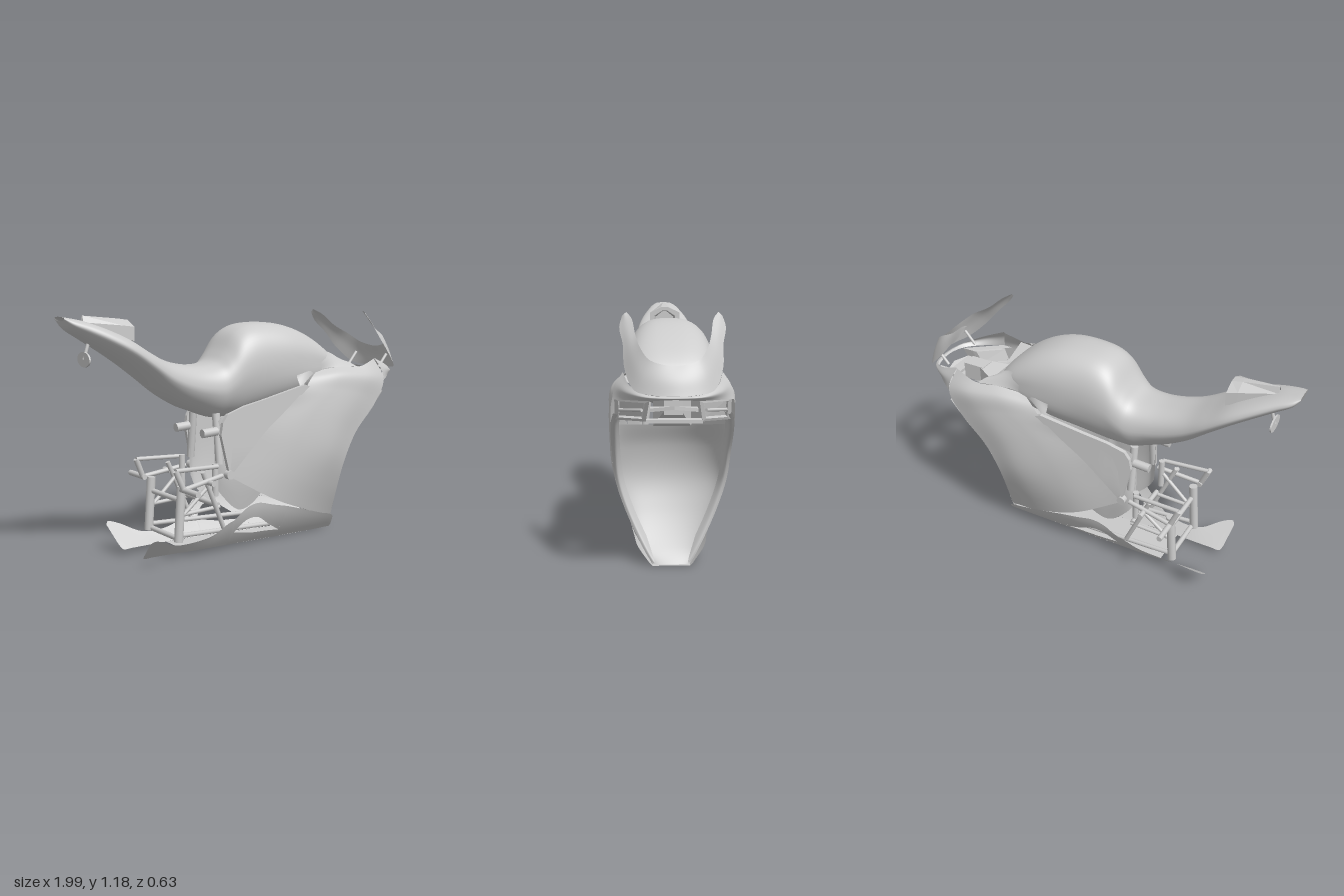
import * as THREE from 'three';

const mat = new THREE.MeshStandardMaterial({ color: 0xcccccc, side: THREE.DoubleSide });
const { smoothstep, lerp, clamp } = THREE.MathUtils;
const V = (p) => new THREE.Vector3(...p);
const spline = (pts, n) => new THREE.CatmullRomCurve3(pts.map((p) => (p.isVector3 ? p : V(p)))).getPoints(n);

// Smooth surface through rows of points (same count in each row)
function surf(rows, nu = 24, nv = 24) {
  const fine = rows.map((r) => spline(r, nu));
  const pos = [], idx = [];
  for (let i = 0; i <= nu; i++) for (const p of spline(fine.map((r) => r[i]), nv)) pos.push(p.x, p.y, p.z);
  for (let i = 0; i < nu; i++) for (let j = 0; j < nv; j++) {
    const a = i * (nv + 1) + j, b = a + nv + 1;
    idx.push(a, b, a + 1, b, b + 1, a + 1);
  }
  const g = new THREE.BufferGeometry();
  g.setAttribute('position', new THREE.Float32BufferAttribute(pos, 3));
  g.setIndex(idx);
  g.computeVertexNormals();
  return g;
}

// Straight-sided shell through closed rings, with the last ring capped
function rings(list) {
  const pos = [], n = list[0].length;
  const tri = (...t) => t.forEach((p) => pos.push(...p));
  for (let k = 0; k < list.length - 1; k++) for (let i = 0; i < n; i++) {
    const j = (i + 1) % n, a = list[k], b = list[k + 1];
    tri(a[i], a[j], b[j]);
    tri(a[i], b[j], b[i]);
  }
  const e = list[list.length - 1];
  for (let i = 1; i < n - 1; i++) tri(e[0], e[i], e[i + 1]);
  const g = new THREE.BufferGeometry();
  g.setAttribute('position', new THREE.Float32BufferAttribute(pos, 3));
  g.computeVertexNormals();
  return g;
}

// Curved strip between a lower and an upper side-view edge, bulged by zRule(x, y)
function strip(edges, zRule) {
  const rows = [0, 0.25, 0.5, 0.75, 1].map((t) => edges.map(([x0, y0, x1, y1]) => {
    const x = lerp(x0, x1, t), y = lerp(y0, y1, t);
    return [x, y, zRule(x, y)];
  }));
  return surf(rows, 40, 8);
}

function rod(a, b, r, sides = 12) {
  const d = V(b).sub(V(a)), g = new THREE.CylinderGeometry(r, r, d.length(), sides);
  g.applyQuaternion(new THREE.Quaternion().setFromUnitVectors(new THREE.Vector3(0, 1, 0), d.clone().normalize()));
  return g.translate(...V(a).addScaledVector(d, 0.5).toArray());
}

const box = (x0, x1, y0, y1, z0, z1) =>
  new THREE.BoxGeometry(x1 - x0, y1 - y0, z1 - z0).translate((x0 + x1) / 2, (y0 + y1) / 2, (z0 + z1) / 2);

export function createModel() {
  const root = new THREE.Group();
  const add = (name, geo, parent = root) => {
    const m = new THREE.Mesh(geo, mat);
    m.name = name;
    parent.add(m);
  };
  const left = new THREE.Group();
  left.name = 'leftSide';
  const side = (name, geo) => add(name, geo, left);

  // Tail, seat and tank in one flowing body: x, bottom, top, half width
  const body = [
    [-1, 1.165, 1.185, 0.05], [-0.97, 1.125, 1.18, 0.075], [-0.9, 1.08, 1.165, 0.1], [-0.8, 1.02, 1.13, 0.135],
    [-0.7, 0.955, 1.085, 0.158], [-0.6, 0.88, 1.025, 0.16], [-0.5, 0.8, 0.975, 0.152], [-0.4, 0.74, 0.948, 0.148],
    [-0.3, 0.7, 0.937, 0.152], [-0.21, 0.67, 0.95, 0.165], [-0.16, 0.67, 1.0, 0.172], [-0.1, 0.67, 1.085, 0.18],
    [-0.04, 0.68, 1.122, 0.187], [0.06, 0.7, 1.136, 0.195], [0.2, 0.73, 1.125, 0.205], [0.33, 0.77, 1.08, 0.203],
    [0.44, 0.82, 1.01, 0.185], [0.5, 0.86, 0.955, 0.15], [0.525, 0.9, 0.92, 0.09],
  ];
  const pw = (v, e) => Math.sign(v) * Math.abs(v) ** e;
  const bodyRows = body.map(([x, y0, y1, w]) => Array.from({ length: 33 }, (_, i) => {
    const a = -Math.PI / 2 + (i / 32) * Math.PI * 2, s = Math.sin(a);
    const taper = clamp(0.1 - x * 0.64, -0.1, 0.32) * Math.max(0, -s);
    return [x, (y0 + y1) / 2 + ((y1 - y0) / 2) * pw(s, 0.85), w * pw(Math.cos(a), 0.72) * (1 - taper)];
  }));
  add('tankSeatAndTail', surf(bodyRows, 64, 90));

  // Raised seat hump and small lamp under the tail
  const humpRing = (x, w, y0, y1) => [[x, y0, -w], [x, y1 - 0.03, -w], [x, y1, -w * 0.25], [x, y1, w * 0.25], [x, y1 - 0.03, w], [x, y0, w]];
  add('tailHump', rings([humpRing(-0.89, 0.015, 1.13, 1.188), humpRing(-0.72, 0.07, 1.08, 1.172),
    humpRing(-0.67, 0.085, 1.07, 1.165), humpRing(-0.67, 0.06, 1.08, 1.145), humpRing(-0.72, 0.05, 1.08, 1.14)]));
  add('tailLamp', new THREE.CylinderGeometry(0.035, 0.035, 0.008, 24).rotateZ(Math.PI / 2).scale(1, 1, 1.7).translate(-0.885, 0.99, 0));
  add('lampBracket', rod([-0.885, 0.99, 0], [-0.86, 1.07, 0], 0.008));

  // Side fairing, rows run front to back, bottom to top, the last tucked against the tank
  side('sideFairing', surf([
    [[0.51, 0.07, 0.125], [0.3, 0.15, 0.192], [0.05, 0.25, 0.215], [-0.2, 0.39, 0.178]],
    [[0.48, 0.25, 0.21], [0.3, 0.32, 0.245], [0.1, 0.4, 0.238], [-0.1, 0.5, 0.195]],
    [[0.485, 0.4, 0.258], [0.35, 0.47, 0.28], [0.18, 0.55, 0.258], [0, 0.61, 0.215]],
    [[0.55, 0.55, 0.272], [0.42, 0.63, 0.287], [0.28, 0.69, 0.267], [0.12, 0.71, 0.23]],
    [[0.69, 0.7, 0.272], [0.55, 0.76, 0.283], [0.4, 0.79, 0.27], [0.22, 0.8, 0.24]],
    [[0.76, 0.82, 0.262], [0.62, 0.845, 0.273], [0.46, 0.865, 0.258], [0.28, 0.855, 0.225]],
    [[0.73, 0.93, 0.215], [0.61, 0.895, 0.23], [0.48, 0.9, 0.215], [0.34, 0.885, 0.195]],
  ], 32, 48));
  side('tankShroudWing', surf([
    [[0.6, 0.893, 0.228], [0.48, 0.9, 0.215], [0.34, 0.885, 0.2], [0.2, 0.81, 0.235]],
    [[0.56, 0.92, 0.2], [0.47, 0.94, 0.19], [0.34, 0.93, 0.2], [0.2, 0.86, 0.205]],
    [[0.525, 0.93, 0.17], [0.46, 0.97, 0.165], [0.36, 0.98, 0.185], [0.2, 0.9, 0.2]],
  ], 16, 10));

  // Front edge of the fairing, turned inwards around the wheel opening
  const edge = [[0.52, 0.015, 0.092], [0.51, 0.07, 0.125], [0.48, 0.25, 0.21], [0.485, 0.4, 0.258],
    [0.55, 0.55, 0.272], [0.69, 0.7, 0.272], [0.76, 0.76, 0.258]];
  side('openingTrim', surf([edge, edge.map(([x, y, z]) => [x + 0.006, y - 0.004, z - 0.018]),
    edge.map(([x, y, z]) => [x - 0.025, y + 0.008, z - 0.038])], 40, 8));

  // Concave panel behind the front wheel: y, edge x, half width, centre x
  const ductRows = [[0.01, 0.52, 0.09, 0.535], [0.08, 0.505, 0.122, 0.49], [0.25, 0.475, 0.195, 0.41],
    [0.4, 0.475, 0.24, 0.37], [0.55, 0.535, 0.25, 0.39], [0.66, 0.625, 0.25, 0.44]];
  add('frontDuctPanel', surf(ductRows.map(([y, e, w, c]) => Array.from({ length: 13 }, (_, i) => {
    const a = (i / 12 - 0.5) * Math.PI;
    return [e - (e - c) * Math.cos(a), y + (y > 0.6 ? 0.025 * Math.sin(a) ** 4 : 0), w * Math.sin(a)];
  })), 36, 36));

  // Belly pan: a rounded shell with a window, flaring into a rear winglet
  const panZ = (x, y) => lerp(0.085 + 0.95 * y - 1.6 * y * y, 0.06 + 1.1 * y, smoothstep(-x, 0.3, 0.6));
  side('bellyPanFront', strip([[0.535, 0.004, 0.535, 0.02], [0.5, 0.004, 0.5, 0.085], [0.4, 0.005, 0.4, 0.118],
    [0.25, 0.01, 0.27, 0.16], [0.14, 0.012, 0.14, 0.2]], panZ));
  side('bellyPanSill', strip([[0.14, 0.012, 0.14, 0.06], [0.05, 0.016, 0.05, 0.07], [-0.05, 0.02, -0.05, 0.077],
    [-0.17, 0.024, -0.17, 0.1]], panZ));
  side('bellyPanArch', strip([[0.14, 0.06, 0.14, 0.2], [0.05, 0.11, 0.04, 0.224], [-0.05, 0.17, -0.06, 0.248],
    [-0.11, 0.165, -0.12, 0.235], [-0.15, 0.13, -0.17, 0.195], [-0.17, 0.1, -0.2, 0.17]], panZ));
  side('bellyPanRear', strip([[-0.17, 0.024, -0.17, 0.1], [-0.18, 0.024, -0.2, 0.17], [-0.3, 0.028, -0.3, 0.105], [-0.4, 0.03, -0.44, 0.085],
    [-0.5, 0.033, -0.52, 0.095], [-0.6, 0.035, -0.61, 0.138], [-0.65, 0.036, -0.665, 0.153], [-0.662, 0.055, -0.68, 0.14]], panZ));
  const floorEdge = [[0.535, 0.004], [0.4, 0.005], [0.14, 0.012], [-0.17, 0.024], [-0.4, 0.03]];
  add('bellyFloor', surf([-1, 0, 1].map((s) => floorEdge.map(([x, y]) => [x, y, s * panZ(x, y)])), 24, 8));

  // Rear side cover, wrapped inwards at the back, with a raised spear-shaped vent surround
  const coverZ = (x) => 0.19 + 0.17 * x;
  side('rearSideCover', strip([[-0.25, 0.36, -0.25, 0.64], [-0.21, 0.29, -0.21, 0.69], [-0.1, 0.2, -0.1, 0.73],
    [0, 0.27, 0, 0.76], [0.1, 0.55, 0.1, 0.785], [0.2, 0.72, 0.2, 0.81]],
  (x, y) => coverZ(x) - 0.008 - 0.03 * smoothstep(-x, 0.19, 0.25) - 0.2 * Math.max(0, 0.4 - y)));
  const spear = [[-0.2, 0.4], [-0.245, 0.6], [-0.235, 0.66], [-0.21, 0.7], [-0.12, 0.735], [0, 0.765], [0.22, 0.825],
    [0.245, 0.815], [0.2, 0.775], [0.05, 0.735], [-0.08, 0.7], [-0.15, 0.66], [-0.18, 0.58]];
  const spearGeo = new THREE.ExtrudeGeometry(new THREE.Shape(spear.map((p) => new THREE.Vector2(...p))), { depth: 0.02, bevelEnabled: false });
  const sp = spearGeo.attributes.position;
  for (let i = 0; i < sp.count; i++) sp.setZ(i, sp.getZ(i) + coverZ(sp.getX(i)));
  spearGeo.computeVertexNormals();
  side('ventSurround', spearGeo);
  side('coverBolt', new THREE.CylinderGeometry(0.022, 0.022, 0.03, 20).rotateX(Math.PI / 2).translate(-0.2, 0.4, 0.17));

  // Headlight: frame, bezel and recessed lens
  const quad = (s, dx) => {
    const q = [[0.77, 0.825, 0.25], [0.93, 0.835, 0.105], [0.89, 0.745, 0.12], [0.735, 0.73, 0.25]];
    const c = [0.832, 0.784, 0.18];
    return q.map((p) => p.map((v, i) => c[i] + (v - c[i]) * s + (i === 0 ? dx : 0)));
  };
  side('headlight', rings([quad(1.03, -0.06), quad(1.03, 0), quad(0.78, 0.004), quad(0.72, -0.04)]));
  side('lampDivider', rod([0.76, 0.775, 0.235], [0.88, 0.79, 0.135], 0.007));

  // Nose: upper cowl, intake lip and bars
  const arc = (pts) => [...pts.map(([x, y, z]) => [x, y, -z]), ...pts.slice(0, -1).reverse()];
  add('noseCowl', surf([
    arc([[0.73, 0.935, 0.215], [0.85, 0.89, 0.185], [0.93, 0.862, 0.12], [0.955, 0.856, 0]]),
    arc([[0.75, 0.88, 0.25], [0.86, 0.862, 0.2], [0.945, 0.852, 0.12], [0.97, 0.85, 0]]),
    arc([[0.765, 0.82, 0.262], [0.86, 0.83, 0.19], [0.935, 0.836, 0.108], [0.955, 0.842, 0]]),
  ], 36, 14));
  add('intakeLip', box(0.84, 0.89, 0.735, 0.75, -0.12, 0.12));
  add('intakeBar', rings([0.785, 0.8].map((y) => [[0.9, y, -0.1], [0.92, y + 0.012, 0], [0.9, y, 0.1], [0.84, y, 0.1], [0.84, y, -0.1]])));
  add('intakeDuct', box(0.7, 0.82, 0.76, 0.85, -0.04, 0.04));
  add('intakeFunnel', rings([[0.72, 0.04, 0.76, 0.85], [0.62, 0.085, 0.68, 0.83], [0.5, 0.07, 0.7, 0.88]]
    .map(([x, w, y0, y1]) => [[x, y0, -w], [x, y1, -w], [x, y1, w], [x, y0, w]])));
  side('cockpitPanel', rings([[[0.49, 0.895, 0.21], [0.63, 0.895, 0.225], [0.65, 0.82, 0.1], [0.5, 0.86, 0.08]]]));

  // Windscreen: wraparound strip sweeping back into two rounded upright lobes
  const outer = [[0.655, 1.172, 0.218], [0.69, 1.125, 0.23], [0.76, 1.055, 0.214], [0.84, 0.965, 0.207], [0.935, 0.88, 0.165], [0.975, 0.865, 0.1], [0.992, 0.862, 0]];
  const inner = [[0.65, 1.188, 0.2], [0.7, 1.16, 0.176], [0.78, 1.095, 0.16], [0.87, 1.045, 0.138], [0.92, 1.005, 0.105], [0.937, 0.988, 0.06], [0.942, 0.98, 0]];
  const middle = outer.map((p, i) => p.map((v, k) => (v + inner[i][k]) / 2 + (k === 0 ? 0.006 : 0)));
  add('windscreen', surf([arc(outer), arc(middle), arc(inner)], 60, 12));
  side('windscreenStay', rod([0.86, 0.87, 0.12], [0.92, 0.94, 0.12], 0.008));

  // Footrest hangers and rear frame
  const bars = [
    [[-0.52, 0.46, 0.185], [-0.27, 0.45, 0.17], 0.011], [[-0.52, 0.46, 0.185], [-0.48, 0.365, 0.19], 0.014],
    [[-0.48, 0.365, 0.19], [-0.24, 0.4, 0.165], 0.012], [[-0.46, 0.37, 0.14], [-0.48, 0.1, 0.14], 0.022],
    [[-0.35, 0.43, 0.16], [-0.22, 0.13, 0.15], 0.012], [[-0.48, 0.23, 0.14], [-0.24, 0.24, 0.14], 0.01],
    [[-0.48, 0.13, 0.14], [0.1, 0.1, 0.13], 0.012], [[-0.27, 0.46, 0.15], [-0.27, 0.3, 0.15], 0.016],
    [[-0.45, 0.23, 0.14], [-0.28, 0.38, 0.15], 0.01], [[-0.23, 0.7, 0.1], [-0.23, 0.45, 0.13], 0.02],
  ];
  bars.forEach(([a, b, r]) => side('frameBar', rod(a, b, r)));
  side('footPeg', rod([-0.48, 0.365, 0.17], [-0.48, 0.365, 0.315], 0.014, 16));
  side('pedalTip', rod([-0.33, 0.38, 0.16], [-0.33, 0.38, 0.225], 0.013));
  side('linkage', rod([-0.325, 0.61, 0.12], [-0.24, 0.615, 0.12], 0.022));
  for (const [x, y] of [[-0.47, 0.11], [-0.46, 0.3], [-0.25, 0.25]])
    add('crossBar', rod([x, y, -0.145], [x, y, 0.145], 0.013));

  // Mirror the left side
  const right = left.clone();
  right.name = 'rightSide';
  right.scale.z = -1;
  root.add(left, right);
  return root;
}
